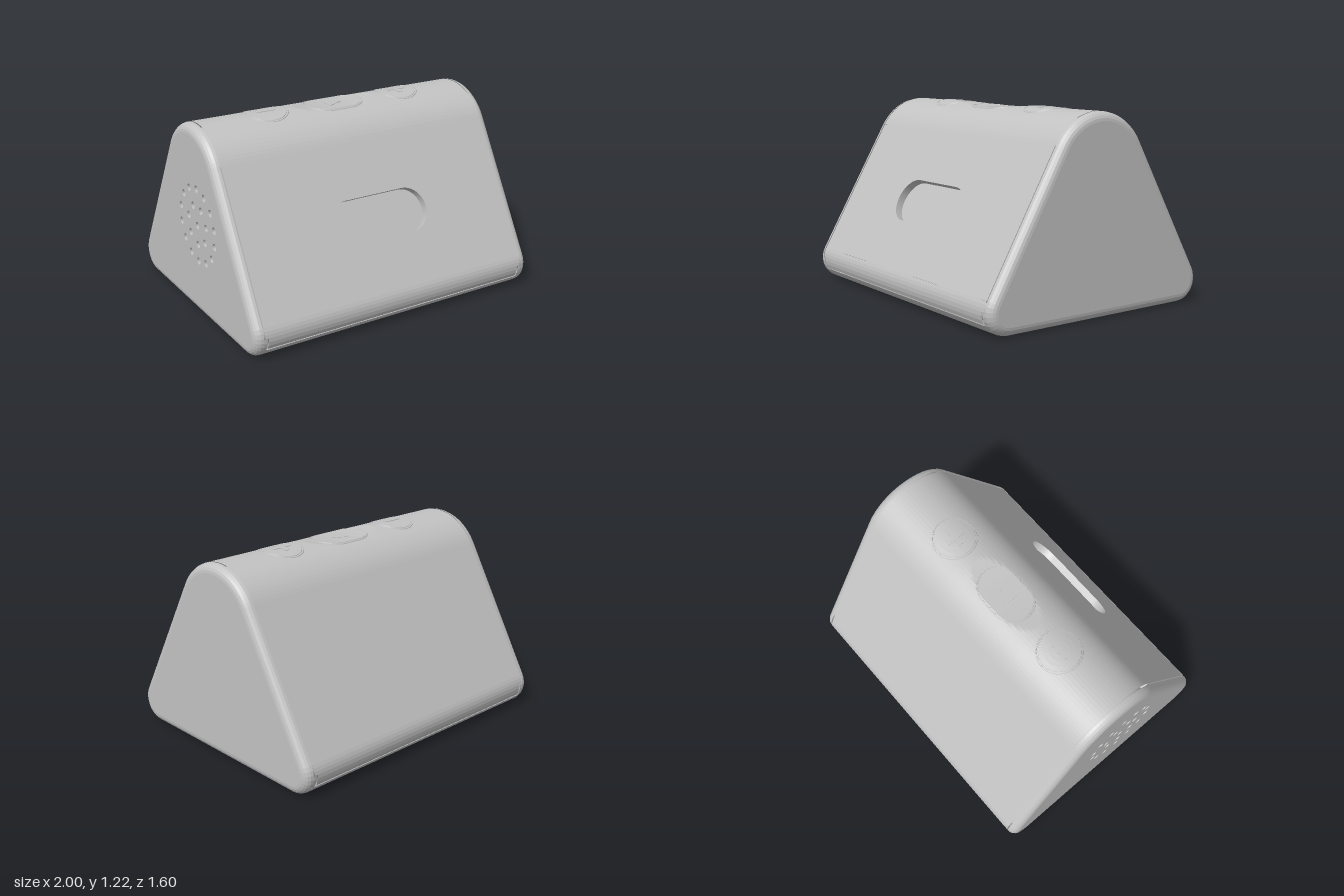
import * as THREE from 'three';

const grey = new THREE.MeshStandardMaterial({ color: 0xc2c2c2, side: THREE.DoubleSide });
grey.name = 'light grey plastic';
grey.flatShading = true;

// Rounded triangular section: one large top circle, two small bottom circles
const TOP_Y = 0.857, TOP_R = 0.353, FOOT_Z = 0.66, FOOT_R = 0.14;
const WALL = 0.05, END_X = 0.945, SHELL_X = 0.937, ROUND = 0.055;

function arc(cz, cy, r, a0, a1, n) {
  return Array.from({ length: n + 1 }, (_, i) => {
    const a = THREE.MathUtils.degToRad(a0 + (a1 - a0) * i / n);
    return [cz + r * Math.cos(a), cy + r * Math.sin(a)];
  });
}
const frontFoot = (a0, a1, n, inset = 0) => arc(FOOT_Z, FOOT_R, FOOT_R - inset, a0, a1, n);
const backFoot = (a0, a1, n, inset = 0) => arc(-FOOT_Z, FOOT_R, FOOT_R - inset, a0, a1, n);
const topArc = (inset = 0) => arc(0, TOP_Y, TOP_R - inset, 30, 150, 30);
const section = (inset) => [...frontFoot(-90, 30, 10, inset), ...topArc(inset), ...backFoot(150, 270, 10, inset)];

// Height of the top surface, including the thumb dish
const surface = (x, z) => Math.min(
  TOP_Y + Math.sqrt(Math.max(0, TOP_R * TOP_R - z * z)),
  1.187 + 0.025 * (x / 0.3) ** 2);

// Skin between rows of points, rows in order of rising x
function loft(rows) {
  const n = rows[0].length, index = [];
  for (let i = 0; i < rows.length - 1; i++) {
    for (let j = 0; j < n - 1; j++) {
      const a = i * n + j, b = a + n;
      index.push(a, b, a + 1, b, b + 1, a + 1);
    }
  }
  const g = new THREE.BufferGeometry();
  g.setAttribute('position', new THREE.Float32BufferAttribute(rows.flat(2), 3));
  g.setIndex(index);
  return flat(g);
}
const strip = (pts, xs) => loft(xs.map((x) => pts.map(([z, y]) => [x, y, z])));

function flat(g) {
  const f = g.index ? g.toNonIndexed() : g;
  f.computeVertexNormals();
  return f;
}

// Lay a flat geometry on the curved top
function drape(g) {
  const p = g.attributes.position;
  for (let i = 0; i < p.count; i++) p.setY(i, p.getY(i) + surface(p.getX(i), p.getZ(i)));
  return flat(g);
}

const shapeOf = (pts) => new THREE.Shape(pts.map(([x, y]) => new THREE.Vector2(x, y)));
const plate = (shape, depth = WALL) => new THREE.ExtrudeGeometry(shape, { depth, bevelEnabled: false, curveSegments: 16 });
const rect = (w, h) => shapeOf([[-w, -h], [w, -h], [w, h], [-w, h]]);

function circleHole(shape, x, y, r) {
  shape.holes.push(new THREE.Path().absarc(x, y, r, 0, Math.PI * 2, true));
}
function slotHole(shape, x, y, half, r, upright = false) {
  const t = upright ? Math.PI / 2 : 0, dx = half * Math.cos(t), dy = half * Math.sin(t);
  const p = new THREE.Path();
  p.absarc(x + dx, y + dy, r, t - Math.PI / 2, t + Math.PI / 2, false);
  p.absarc(x - dx, y - dy, r, t + Math.PI / 2, t + Math.PI * 1.5, false);
  p.closePath();
  shape.holes.push(p);
}

export function createModel() {
  const model = new THREE.Group();
  const add = (name, geometry) => {
    const m = new THREE.Mesh(geometry, grey);
    m.name = name;
    model.add(m);
    return m;
  };

  // Inner core, seen as the floor of every recess and seam
  add('innerCore', plate(shapeOf(section(WALL)), 1.9).rotateY(Math.PI / 2).translate(-0.95, 0, 0));

  // Wrapped shell: top with the thumb dish, then the back
  const xs = [-SHELL_X, ...Array.from({ length: 33 }, (_, i) => -0.32 + 0.02 * i), SHELL_X];
  add('topShell', loft(xs.map((x) => topArc().map(([z, y]) => [x, Math.min(y, surface(x, z)), z]))));
  add('backShell', strip([topArc().at(-1), ...backFoot(150, 176, 3)], [-SHELL_X, SHELL_X]));
  add('frontShellLower', strip(frontFoot(4, 30, 3), [-SHELL_X, SHELL_X]));
  add('frontShellLip', strip(frontFoot(-27.7, 4, 3), [-0.915, 0.915]));
  add('backShellLip', strip(backFoot(176, 207.7, 3), [-0.915, 0.915]));

  // Sloping front panel with the slot recess
  const front = rect(SHELL_X, 0.4735);
  slotHole(front, 0, -0.015, 0.2035, 0.1415);
  add('frontPanel', plate(front).translate(0, 0, -WALL).rotateX(-Math.PI / 6).translate(0, 0.62, 0.5435));

  // Rounded ends, with a speaker grille on the right one
  for (const side of [-1, 1]) {
    const steps = [0, 1, 2, 3, 4, 5].map((i) => i * Math.PI / 10);
    if (side < 0) steps.reverse();
    const rows = steps.map((a) => {
      const s = section(ROUND * (1 - Math.cos(a)));
      return [...s, s[0]].map(([z, y]) => [side * (END_X + ROUND * Math.sin(a)), y, z]);
    });
    const label = side > 0 ? 'left' : 'right';
    add(label + 'EndRim', loft(rows));
    const face = shapeOf(section(ROUND));
    if (side < 0) {
      for (const [count, radius] of [[1, 0], [7, 0.125], [14, 0.235]]) {
        for (let i = 0; i < count; i++) {
          const a = i / count * Math.PI * 2 + 0.2;
          circleHole(face, 0.08 + radius * Math.cos(a), 0.6 + radius * Math.sin(a), 0.023);
        }
      }
    }
    add(label + 'EndFace', plate(face).rotateY(side * Math.PI / 2).translate(side * 0.95, 0, 0));

    // Corner tabs below the shell step
    const tabX = side > 0 ? [0.923, END_X] : [-END_X, -0.923];
    add(label + 'FrontTab', strip(frontFoot(-31.4, 3, 3), tabX));
    add(label + 'BackTab', strip(backFoot(177, 211.4, 3), tabX));
  }

  // Base: curved edges and a flat underside with openings
  add('baseFrontEdge', strip(frontFoot(-90, -31.4, 5), [-END_X, END_X]));
  add('baseBackEdge', strip(backFoot(211.4, 270, 5), [-END_X, END_X]));
  const hatch = (g) => [[-0.545 - g, -0.267 - g], [0.73 + g, -0.267 - g], [0.73 + g, -0.14 - g], [0.69 + g, -0.14 - g],
    [0.69 + g, 0.295 - g], [0.73 + g, 0.295 - g], [0.73 + g, 0.635 + g], [-0.545 - g, 0.635 + g]];
  const base = rect(END_X, FOOT_Z);
  base.holes.push(new THREE.Path(shapeOf(hatch(0.003)).getPoints()));
  circleHole(base, 0.86, 0.187, 0.042);
  slotHole(base, 0.76, -0.023, 0.065, 0.024, true);
  const under = (shape) => plate(shape).rotateX(Math.PI / 2).translate(0, WALL, 0);
  for (const x of [-0.86, 0.86]) {
    for (const z of [-0.63, 0.63]) {
      circleHole(base, x, z, 0.022);
      add('screw', new THREE.CylinderGeometry(0.018, 0.018, 0.03, 16).translate(x, 0.035, z));
    }
  }
  add('basePlate', under(base));
  add('batteryHatch', under(shapeOf(hatch(-0.003))));
  add('powerSocketPin', new THREE.CylinderGeometry(0.014, 0.014, 0.04, 12).translate(0.86, 0.03, 0.187));
  add('powerSocketRing', new THREE.TorusGeometry(0.034, 0.006, 6, 20).rotateX(Math.PI / 2).translate(0.86, 0.012, 0.187));
  add('switchSlider', new THREE.BoxGeometry(0.035, 0.03, 0.05).translate(0.76, 0.035, -0.05));

  // Top buttons: pad, groove and rim following the curved top
  const pad = (r, stretch) => {
    const profile = [[r + 0.003, -0.004], [r, 0.004], [r - 0.004, 0.004], [r - 0.005, 0.001], [r - 0.011, 0.001],
      [r - 0.012, 0.004], [r * 0.7, 0.004], [r * 0.45, 0.004], [r * 0.2, 0.004], [0.0005, 0.004]];
    const g = new THREE.LatheGeometry(profile.map(([x, y]) => new THREE.Vector2(x, y)), 40, Math.PI / 40);
    const p = g.attributes.position;
    for (let i = 0; i < p.count; i++) p.setX(i, p.getX(i) + Math.sign(p.getX(i)) * stretch);
    return g;
  };
  const bar = (w, d, x) => drape(new THREE.BoxGeometry(w, 0.004, d, 6, 1, 6).translate(x, 0.005, 0));
  add('playButton', drape(pad(0.132, 0.068)));
  add('minusButton', drape(pad(0.139, 0).translate(-0.48, 0, 0)));
  add('plusButton', drape(pad(0.139, 0).translate(0.48, 0, 0)));
  add('minusMark', bar(0.125, 0.03, -0.48));
  add('plusMarkAcross', bar(0.125, 0.03, 0.48));
  add('plusMarkAlong', bar(0.03, 0.125, 0.48));
  const triangle = shapeOf([[-0.05, -0.055], [0.058, 0], [-0.05, 0.055]]);
  add('playMark', drape(plate(triangle, 0.004).rotateX(Math.PI / 2).translate(0, 0.007, 0)));

  return model;
}
